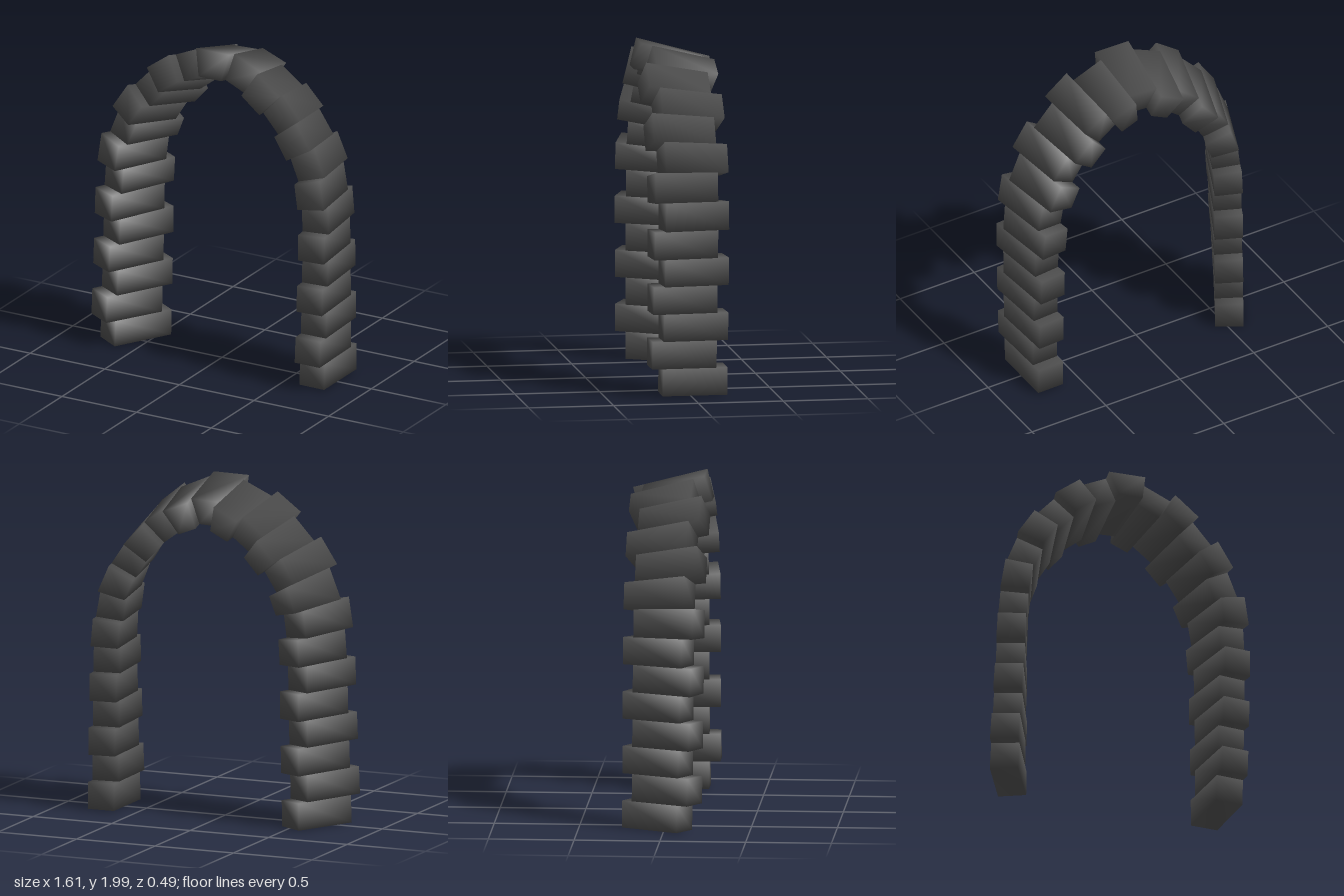
import * as THREE from 'three';
import { mergeVertices } from 'three/addons/utils/BufferGeometryUtils.js';

const COUNT = 27;      // stones from one foot to the other
const THICK = 0.165;   // radial size
const DEPTH = 0.38;    // front to back
const STAGGER = 0.033; // alternate stones step forwards and backwards
const TWIST = THREE.MathUtils.degToRad(30);

// Centre line of the arch, from the right foot over the crown to the left foot
const path = new THREE.CatmullRomCurve3([
  [-0.62, 0], [-0.6, 0.6], [-0.58, 1.12], [-0.535, 1.355], [-0.36, 1.63],
  [-0.11, 1.82], [0.06, 1.865], [0.235, 1.82], [0.465, 1.64], [0.645, 1.36],
  [0.695, 1.12], [0.705, 0.6], [0.7, 0.01],
].map(([x, y]) => new THREE.Vector3(x, y, 0)), false, 'centripetal');
path.arcLengthDivisions = 600;

// Maps distance u along the arch, radial offset r and depth offset d to space;
// the section twists steadily along the arch
function place(u, r, d) {
  const p = path.getPointAt(u);
  const t = path.getTangentAt(u);
  const angle = TWIST * (1 - u);
  const out = r * Math.cos(angle) + d * Math.sin(angle);
  const forward = d * Math.cos(angle) - r * Math.sin(angle);
  return new THREE.Vector3(
    p.x - t.y * out,
    p.y + t.x * out,
    THREE.MathUtils.lerp(-0.015, 0.017, u) + forward,
  );
}

// One wedge-shaped stone: a box with shared corners, bent onto the path
function stoneGeometry(i) {
  let geo = new THREE.BoxGeometry(1, THICK, DEPTH);
  geo.deleteAttribute('normal');
  geo.deleteAttribute('uv');
  geo = mergeVertices(geo);
  const pos = geo.attributes.position;
  const shift = i % 2 ? STAGGER : -STAGGER;
  for (let k = 0; k < pos.count; k++) {
    const u = THREE.MathUtils.clamp((i + 0.5 + pos.getX(k)) / COUNT, 0, 1);
    const v = place(u, pos.getY(k), pos.getZ(k) + shift);
    pos.setXYZ(k, v.x, Math.max(v.y, 0), v.z);
  }
  geo.computeVertexNormals();
  return geo;
}

export function createModel() {
  const group = new THREE.Group();
  group.name = 'stoneArch';
  const stone = new THREE.MeshStandardMaterial({ color: 0x505050 });
  stone.name = 'darkStone';
  const crown = (COUNT - 1) / 2;
  for (let i = 0; i < COUNT; i++) {
    const mesh = new THREE.Mesh(stoneGeometry(i), stone);
    mesh.name = i === crown ? 'keystone' : `${i < crown ? 'right' : 'left'}ArchStone${i < crown ? i + 1 : COUNT - i}`;
    group.add(mesh);
  }
  return group;
}
